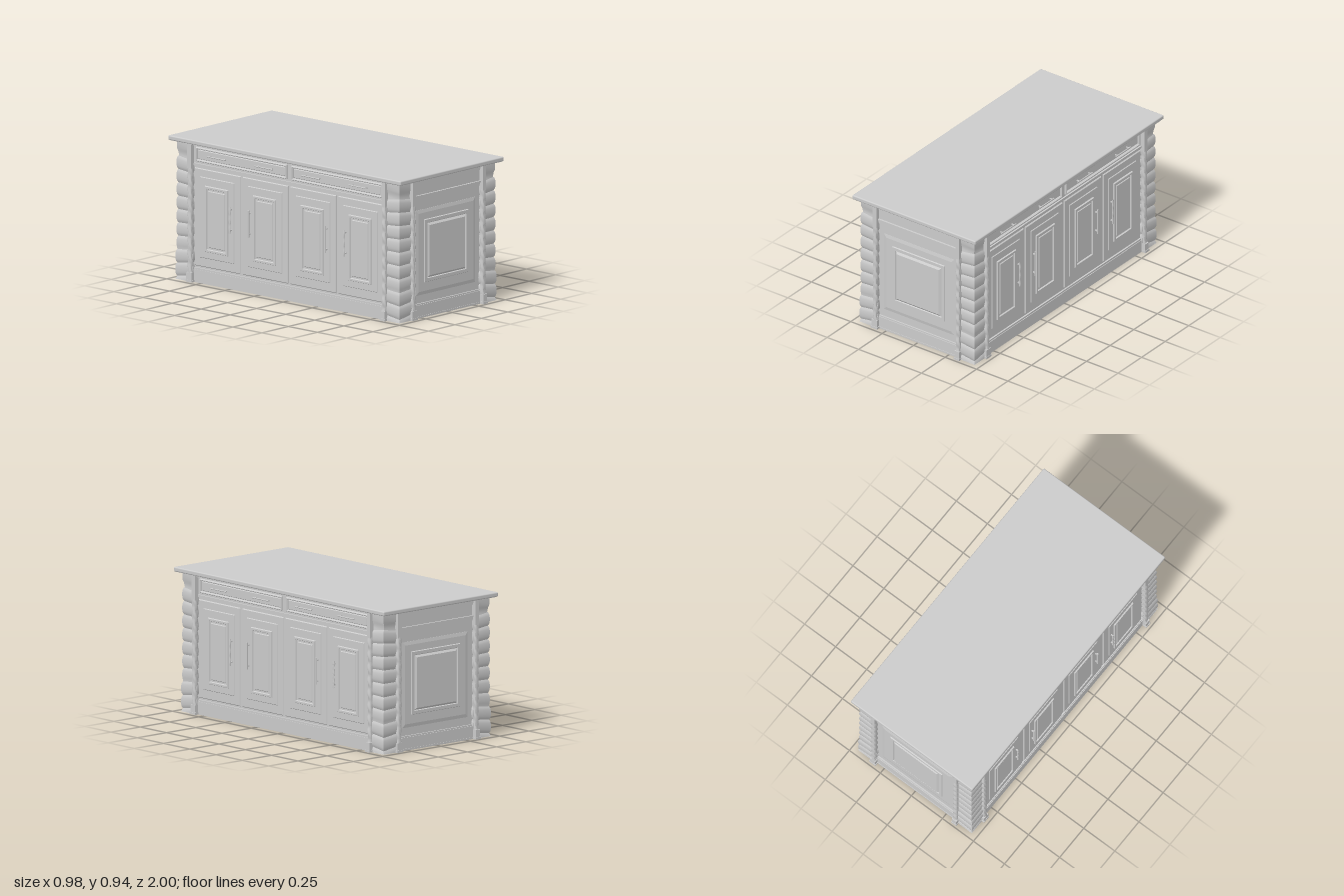
import * as THREE from 'three';
import { toCreasedNormals } from 'three/addons/utils/BufferGeometryUtils.js';
import { RoundedBoxGeometry } from 'three/addons/geometries/RoundedBoxGeometry.js';
import { ParametricGeometry } from 'three/addons/geometries/ParametricGeometry.js';

const grey = new THREE.MeshStandardMaterial({ color: 0xcccccc });

function add(parent, name, geo, x = 0, y = 0, z = 0) {
  const mesh = new THREE.Mesh(geo, grey);
  mesh.name = name;
  mesh.position.set(x, y, z);
  parent.add(mesh);
  return mesh;
}

// Box given by its bottom and top heights
function block(parent, name, w, y0, y1, d, x = 0, z = 0) {
  return add(parent, name, new THREE.BoxGeometry(w, y1 - y0, d), x, (y0 + y1) / 2, z);
}

function rectangle(target, x, y0, y1, w) {
  target.moveTo(x - w / 2, y0).lineTo(x + w / 2, y0).lineTo(x + w / 2, y1).lineTo(x - w / 2, y1).closePath();
  return target;
}

// Bevelled panel standing proud of the face; a rim above 0 makes it an open frame
function panel(parent, name, x, y0, y1, w, proud, bevel, rim = 0) {
  const shape = rectangle(new THREE.Shape(), x, y0, y1, w);
  if (rim) shape.holes.push(rectangle(new THREE.Path(), x, y0 + rim, y1 - rim, w - 2 * rim));
  const t = proud * 0.7;
  const geo = new THREE.ExtrudeGeometry(shape, {
    depth: 0.005, bevelSize: bevel, bevelOffset: -bevel, bevelThickness: t, bevelSegments: 1,
  });
  return add(parent, name, geo, 0, 0, proud - t - 0.005);
}

// Vertical rope: an oval section that turns as it rises
function rope(y0, y1, rx, rz, pitch) {
  const steps = Math.round((y1 - y0) / pitch * 8);
  const geo = new ParametricGeometry((u, v, p) => {
    const y = y0 + (y1 - y0) * v, a = -u * Math.PI * 2, turn = y / pitch * Math.PI;
    const r = 1 + 0.13 * Math.cos(2 * a - 2 * turn) - 0.08 * Math.abs(Math.cos(turn)) ** 6;
    p.set(rx * r * Math.cos(a), y, rz * r * Math.sin(a));
  }, 16, steps);
  return toCreasedNormals(geo, 0.6);
}

// Stack of bulging carved blocks on a square plan
function carvedColumn() {
  const pitch = 0.083;
  const geo = new ParametricGeometry((u, v, p) => {
    const a = u * Math.PI * 2, c = Math.cos(a), s = -Math.sin(a);
    const m = Math.max(Math.abs(c), Math.abs(s));
    const px = c / m, pz = s / m, level = v * 10;
    const y = -0.043 + level * pitch;
    const bulge = Math.sqrt(Math.abs(Math.sin(Math.PI * level)));
    const half = 0.06 + 0.009 * bulge + (level < 3.01 ? 0.005 : 0);
    // courses fan apart toward the outer corner
    const fan = 0.025 * (y - 0.45) * (px + pz);
    p.set(px * half, Math.max(0, y + fan), pz * half);
  }, 32, 80);
  return toCreasedNormals(geo, 0.5);
}

// Corner: carved column between two rope pilasters
function createCorner() {
  const corner = new THREE.Group();
  corner.name = 'corner';
  add(corner, 'carvedBlocks', carvedColumn(), 0.055, 0, 0.055);
  const profile = [[0.062, 0.76], [0.06, 0.79], [0.057, 0.81], [0.061, 0.835], [0.067, 0.855], [0.067, 0.906]]
    .map(([r, y]) => new THREE.Vector2(r * Math.SQRT2, y));
  const crown = new THREE.LatheGeometry(profile, 4).rotateY(Math.PI / 4);
  add(corner, 'columnCrown', toCreasedNormals(crown, 0.4), 0.055, 0, 0.055);
  for (const [x, z] of [[0, 0.126], [0.126, 0]]) {
    const pilaster = new THREE.Group();
    pilaster.name = 'pilaster';
    pilaster.position.set(x, 0, z);
    corner.add(pilaster);
    block(pilaster, 'pilasterFoot', 0.042, 0, 0.014, 0.052);
    block(pilaster, 'pilasterBase', 0.036, 0.014, 0.062, 0.044);
    block(pilaster, 'pilasterCore', 0.024, 0.06, 0.75, 0.024);
    add(pilaster, 'pilasterRope', rope(0.06, 0.745, 0.0175, 0.0175, 0.083));
    block(pilaster, 'pilasterTop', 0.031, 0.74, 0.906, 0.032);
  }
  return corner;
}

// Narrow end with one large fielded panel
function createEnd() {
  const end = new THREE.Group();
  end.name = 'endFace';
  block(end, 'endPlinth', 0.64, 0, 0.084, 0.03);
  block(end, 'plinthFoot', 0.64, 0, 0.012, 0.036);
  block(end, 'plinthMoulding', 0.64, 0.084, 0.093, 0.02);
  panel(end, 'endPanel', 0, 0.145, 0.7, 0.56, 0.006, 0.022);
  panel(end, 'endFrame', 0, 0.222, 0.635, 0.42, 0.013, 0.005, 0.03);
  panel(end, 'endField', 0, 0.25, 0.606, 0.362, 0.017, 0.014);
  block(end, 'lowerMoulding', 0.64, 0.765, 0.775, 0.014);
  block(end, 'middleMoulding', 0.64, 0.775, 0.79, 0.026);
  block(end, 'upperMoulding', 0.64, 0.79, 0.8, 0.038);
  block(end, 'frieze', 0.64, 0.8, 0.87, 0.012);
  block(end, 'corniceLower', 0.64, 0.87, 0.882, 0.028);
  block(end, 'corniceUpper', 0.64, 0.882, 0.906, 0.036);
  return end;
}

// Long side with four doors and two drawers
function createSide() {
  const side = new THREE.Group();
  side.name = 'sideFace';
  block(side, 'sidePlinth', 1.65, 0, 0.084, 0.03);
  block(side, 'plinthMoulding', 1.65, 0.084, 0.096, 0.022);
  block(side, 'drawerRail', 1.65, 0.76, 0.775, 0.022);
  block(side, 'topRail', 1.65, 0.888, 0.906, 0.024);
  for (const s of [-1, 1]) {
    panel(side, 'drawerFront', s * 0.411, 0.788, 0.882, 0.785, 0.014, 0.005, 0.014);
    panel(side, 'drawerField', s * 0.411, 0.805, 0.865, 0.75, 0.006, 0.003);
    for (const c of [0.206, 0.617]) {
      const x = s * c;
      panel(side, 'door', x, 0.108, 0.746, 0.395, 0.008, 0.005);
      panel(side, 'doorFrame', x, 0.164, 0.698, 0.302, 0.013, 0.007);
      panel(side, 'doorMoulding', x, 0.208, 0.645, 0.205, 0.022, 0.007, 0.026);
      panel(side, 'doorField', x, 0.236, 0.617, 0.152, 0.018, 0.01);
      // Door handle beside the shared stile
      const hx = s * (c < 0.4 ? 0.33 : 0.492);
      const grip = c < 0.4
        ? new THREE.CylinderGeometry(0.0055, 0.0055, 0.176, 10).translate(0, 0.452, 0)
        : rope(0.364, 0.54, 0.0075, 0.0055, 0.06);
      add(side, 'doorHandle', grip, hx, 0, 0.03);
      for (const y of [0.385, 0.52]) block(side, 'handlePost', 0.008, y - 0.004, y + 0.004, 0.022, hx, 0.02);
      // Drawer handle
      const bar = new THREE.CylinderGeometry(0.004, 0.004, 0.155, 10).rotateZ(Math.PI / 2);
      add(side, 'drawerHandle', bar, x * 0.985, 0.837, 0.026);
      for (const d of [-0.06, 0.06]) block(side, 'handlePost', 0.006, 0.834, 0.84, 0.022, x * 0.985 + d, 0.015);
    }
  }
  return side;
}

export function createModel() {
  const model = new THREE.Group();
  model.name = 'kitchenIsland';
  add(model, 'worktop', new RoundedBoxGeometry(0.98, 0.03, 2, 3, 0.008), 0, 0.92, 0);
  block(model, 'worktopUnderside', 0.962, 0.903, 0.908, 1.982);
  block(model, 'carcass', 0.87, 0.002, 0.906, 1.88);

  // Both ends and both long sides
  for (const turn of [0, Math.PI]) {
    const end = createEnd();
    end.rotation.y = turn;
    end.position.z = 0.94 * Math.cos(turn);
    const side = createSide();
    side.rotation.y = turn + Math.PI / 2;
    side.position.x = 0.435 * Math.cos(turn);
    model.add(end, side);
  }

  // Corners, each turned a quarter further
  [[1, 1], [1, -1], [-1, -1], [-1, 1]].forEach(([sx, sz], i) => {
    const corner = createCorner();
    corner.position.set(sx * 0.33, 0, sz * 0.835);
    corner.rotation.y = i * Math.PI / 2;
    model.add(corner);
  });
  return model;
}
